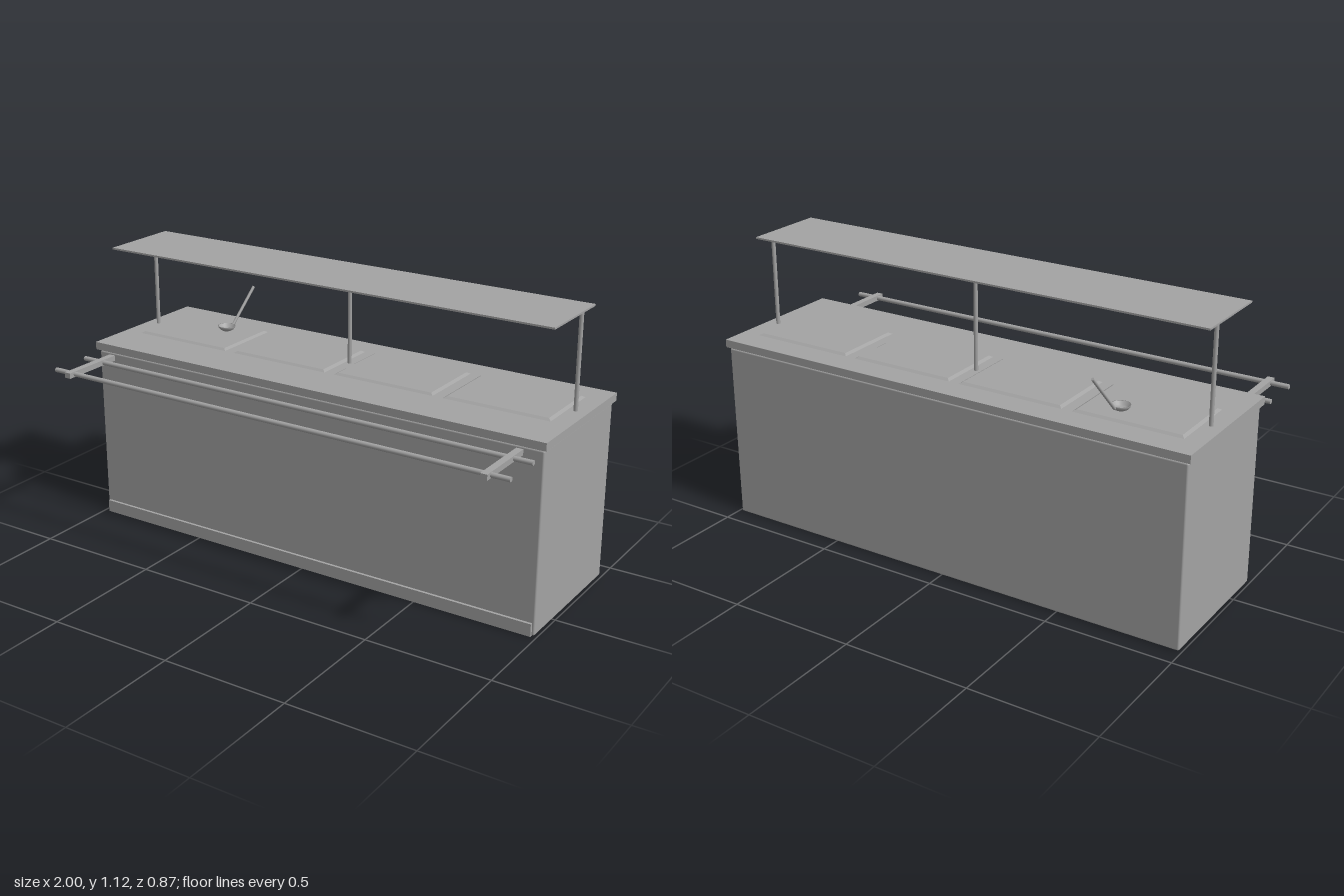
import * as THREE from 'three';
import { RoundedBoxGeometry } from 'three/addons/geometries/RoundedBoxGeometry.js';

export function createModel() {
  const model = new THREE.Group();
  model.name = 'buffetCounter';
  const steel = new THREE.MeshStandardMaterial({ color: 0xa3a3a3 });
  steel.name = 'steelGrey';
  const steelOpen = new THREE.MeshStandardMaterial({ color: 0xa3a3a3, side: THREE.DoubleSide });
  steelOpen.name = 'steelGreyThin';

  const add = (name, geometry, x = 0, y = 0, z = 0, material = steel) => {
    const mesh = new THREE.Mesh(geometry, material);
    mesh.name = name;
    mesh.position.set(x, y, z);
    model.add(mesh);
    return mesh;
  };
  // Box given by its limits on each axis
  const block = (name, [x0, x1], [y0, y1], [z0, z1]) =>
    add(name, new THREE.BoxGeometry(x1 - x0, y1 - y0, z1 - z0),
      (x0 + x1) / 2, (y0 + y1) / 2, (z0 + z1) / 2);

  // Cabinet with softened edges, kick plate, neck and worktop
  add('cabinet', new RoundedBoxGeometry(1.978, 0.709, 0.575, 2, 0.007), 0, 0.3545, -0.1365);
  block('kickPlate', [-0.979, 0.979], [0, 0.05], [0.145, 0.162]);
  block('neck', [-0.982, 0.982], [0.7, 0.716], [-0.418, 0.145]);
  block('worktop', [-1, 1], [0.714, 0.745], [-0.433, 0.162]);

  // Four shallow lids with sloping edges
  for (let i = 0; i < 4; i++) {
    const lid = new THREE.BoxGeometry(0.43, 0.007, 0.295);
    const p = lid.attributes.position;
    for (let v = 0; v < p.count; v++) {
      if (p.getY(v) < 0) continue;
      p.setX(v, p.getX(v) - Math.sign(p.getX(v)) * 0.012);
      p.setZ(v, p.getZ(v) - Math.sign(p.getZ(v)) * 0.012);
    }
    lid.computeVertexNormals();
    add('lid', lid, (i - 1.5) * 0.472, 0.7485, -0.178);
  }

  // Overhead shelf on three round posts
  block('shelf', [-0.965, 0.965], [1.114, 1.121], [-0.261, 0.071]);
  for (const x of [-0.951, 0, 0.951])
    add('shelfPost', new THREE.CylinderGeometry(0.008, 0.008, 0.372, 16), x, 0.93, -0.178);

  // Tray slide: two brackets carrying two rails
  for (const x of [-0.91, 0.905])
    block('trayBracket', [x - 0.0135, x + 0.0135], [0.686, 0.708], [0.169, 0.433]);
  for (const z of [0.403, 0.236])
    add('trayRail', new THREE.CylinderGeometry(0.0095, 0.0095, 1.985, 16), -0.002, 0.697, z)
      .rotation.z = Math.PI / 2;

  // Ladle: hollow shallow bowl and slanted handle
  const bowl = [[0, 0], [0.018, 0.001], [0.027, 0.006], [0.033, 0.013], [0.036, 0.021],
    [0.033, 0.021], [0.026, 0.01], [0.017, 0.005], [0, 0.004]];
  add('ladleBowl', new THREE.LatheGeometry(bowl.map(([r, y]) => new THREE.Vector2(r, y)), 24),
    -0.636, 0.752, -0.235, steelOpen);
  const start = new THREE.Vector3(-0.63, 0.767, -0.269);
  const end = new THREE.Vector3(-0.604, 0.909, -0.384);
  const along = end.clone().sub(start);
  const handle = add('ladleHandle', new THREE.CylinderGeometry(0.006, 0.006, along.length(), 12));
  handle.position.copy(start).add(end).multiplyScalar(0.5);
  handle.quaternion.setFromUnitVectors(new THREE.Vector3(0, 1, 0), along.normalize());

  return model;
}
